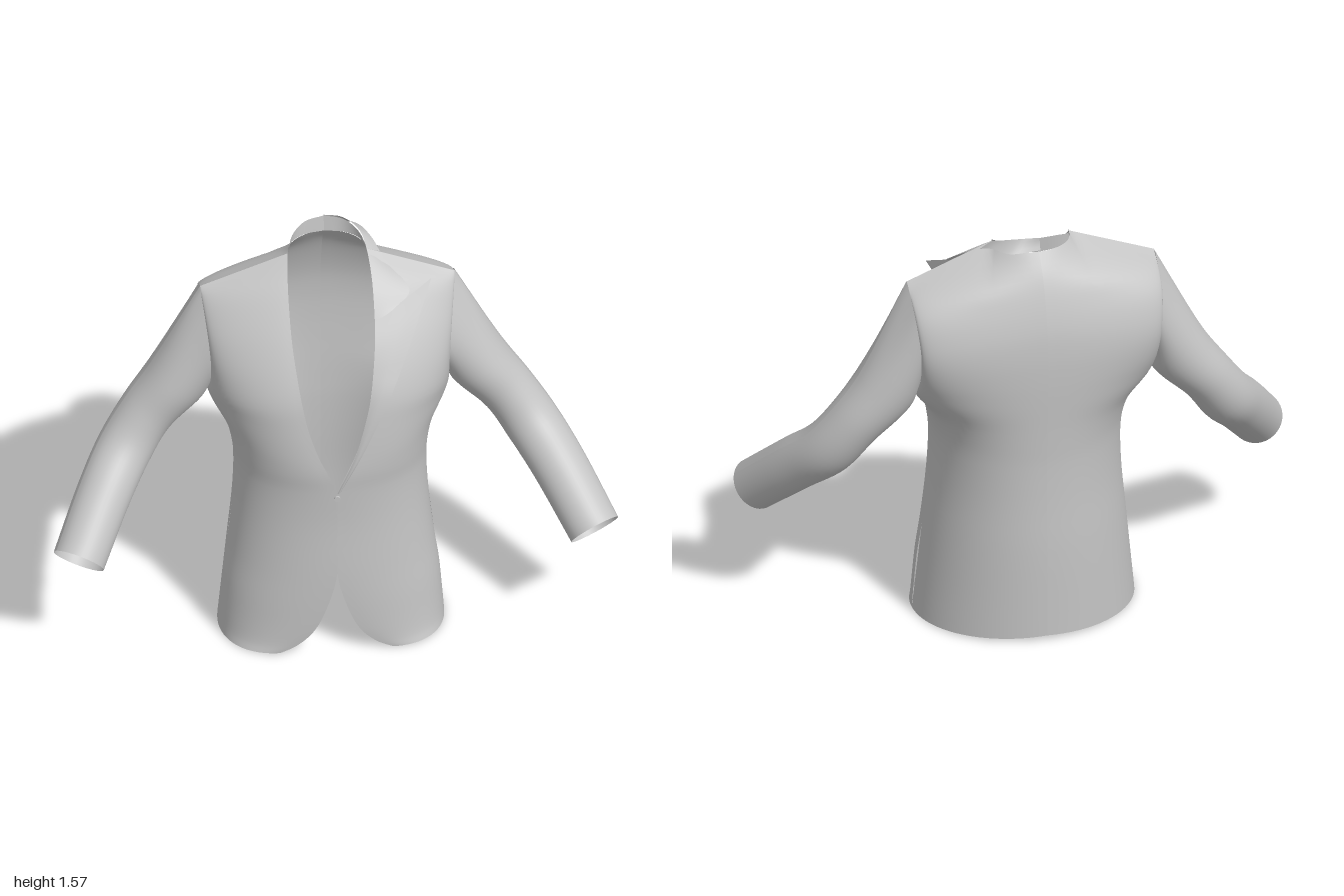
import * as THREE from 'three';

const V = (x, y, z) => new THREE.Vector3(x, y, z);
const COLS = 20;

// Front panel rows: front edge x, y, z, then side edge x, y, z, then fullness
const FRONT = [
  [.20, .002, .255, .400, .002, .04, .60],
  [.14, .035, .260, .398, .035, .04, .60],
  [.08, .10, .267, .393, .10, .04, .60],
  [.03, .22, .273, .383, .22, .035, .60],
  [0, .35, .274, .365, .35, .03, .60],
  [0, .55, .268, .345, .55, .02, .60],
  [0, .70, .272, .340, .70, .01, .60],
  [.03, .78, .274, .348, .78, 0, .60],
  [.065, .86, .268, .370, .86, -.03, .60],
  [.10, .97, .255, .426, .95, -.09, .56],
  [.12, 1.07, .238, .422, 1.02, 0, .53],
  [.135, 1.17, .20, .422, 1.11, .035, .48],
  [.147, 1.28, .14, .428, 1.20, .025, .43],
  [.15, 1.38, .065, .438, 1.29, -.015, .40],
  [.148, 1.45, 0, .447, 1.36, -.055, .37],
  [.14, 1.51, -.075, .450, 1.39, -.075, .33],
];
// Back panel rows: centre y, z, then side edge x, y, z, then fullness
const BACK = [
  [.02, -.31, .400, .002, .04, .54],
  [.35, -.312, .365, .35, .03, .55],
  [.55, -.306, .345, .55, .02, .56],
  [.70, -.305, .340, .70, .01, .58],
  [.78, -.308, .348, .78, 0, .59],
  [.86, -.312, .370, .86, -.03, .60],
  [.96, -.318, .426, .95, -.09, .60],
  [1.05, -.322, .430, 1.03, -.18, .57],
  [1.15, -.322, .435, 1.12, -.225, .54],
  [1.25, -.312, .440, 1.20, -.23, .50],
  [1.36, -.282, .448, 1.29, -.20, .46],
  [1.44, -.247, .450, 1.35, -.14, .42],
];

// Rounded cross-section from a centre point to a side point
function section(ex, ey, ez, sx, sy, sz, k) {
  const curve = new THREE.CubicBezierCurve3(V(ex, ey, ez), V(ex + k * (sx - ex), ey, ez),
    V(sx, sy, sz + k * (ez - sz)), V(sx, sy, sz));
  return curve.getPoints(COLS).map(p => {
    p.y = THREE.MathUtils.lerp(ey, sy, (p.x - ex) / (sx - ex));
    return p;
  });
}

// Smooth surface through rows of points, each with the same count
function loft(rows, steps, side) {
  const n = rows[0].length, m = (rows.length - 1) * steps;
  const cols = rows[0].map((_, j) => new THREE.CatmullRomCurve3(rows.map(r => r[j])).getPoints(m));
  const pos = [], idx = [];
  for (let i = 0; i <= m; i++) for (let j = 0; j < n; j++) {
    const p = cols[j][i];
    pos.push(p.x * side, p.y, p.z);
    if (i < m && j < n - 1) {
      const a = i * n + j, b = a + 1, c = a + n, d = c + 1;
      if (side > 0) idx.push(a, b, c, b, d, c);
      else idx.push(a, c, b, b, c, d);
    }
  }
  const g = new THREE.BufferGeometry();
  g.setAttribute('position', new THREE.Float32BufferAttribute(pos, 3));
  g.setIndex(idx);
  g.computeVertexNormals();
  return g;
}

// Curve through listed points, sampled evenly
const path = (pts, n) => new THREE.CatmullRomCurve3(pts.map(p => V(...p))).getPoints(n);

// Strip between two edge paths, raised forward along its middle
function strip(inner, outer, n, bulge) {
  const a = path(inner, n), b = path(outer, n);
  return a.map((p, i) => [0, .25, .5, .75, 1].map(t => {
    const q = p.clone().lerp(b[i], t);
    q.z += bulge * Math.sin(t * Math.PI);
    return q;
  }));
}

// Sleeve rings: the armhole loop first, then rings square to the arm
function sleeveRows() {
  const loop = [...FRONT.slice(9).reverse().map(r => V(r[3], r[4], r[5])),
    ...BACK.slice(7).map(r => V(r[2], r[3], r[4]))];
  const N = 36;
  const rows = [new THREE.CatmullRomCurve3(loop, true).getPoints(N)];
  const arm = [[.44, 1.17, -.10], [.535, .985, -.09], [.64, .857, -.075],
    [.72, .74, -.03], [.80, .633, .075], [.912, .46, .252]].map(p => V(...p));
  const radius = [[0, 0], [.112, .122], [.098, .106], [.10, .10], [.098, .097], [.094, .093]];
  for (let i = 1; i < arm.length; i++) {
    const t = arm[Math.min(i + 1, arm.length - 1)].clone().sub(arm[i - 1]).normalize();
    const front = V(0, 0, 1).addScaledVector(t, -t.z).normalize();
    const out = front.clone().cross(t);
    const ring = [];
    for (let j = 0; j <= N; j++) {
      const a = j / N * Math.PI * 2;
      ring.push(arm[i].clone().addScaledVector(out, Math.cos(a) * radius[i][0])
        .addScaledVector(front, Math.sin(a) * radius[i][1]));
    }
    rows.push(ring);
  }
  return rows;
}

export function createModel() {
  const group = new THREE.Group();
  const cloth = new THREE.MeshStandardMaterial({ color: 0xc4c4c4, side: THREE.DoubleSide });
  cloth.name = 'grey cloth';
  const add = (name, geometry) => {
    const mesh = new THREE.Mesh(geometry, cloth);
    mesh.name = name;
    group.add(mesh);
    return mesh;
  };

  const front = FRONT.map(r => section(...r));
  const back = BACK.map(r => section(0, ...r).reverse());
  // Back top edge: in along the shoulder, then round the neck
  const top = [];
  for (let j = COLS; j >= 0; j--) {
    const u = j / COLS, a = u / .35 * Math.PI / 2;
    if (u < .35) top.push(V(.14 * Math.sin(a), 1.51, -.075 - .12 * Math.cos(a)));
    else top.push(V(.14, 1.51, -.075).lerp(V(.45, 1.39, -.075), (u - .35) / .65));
  }
  back.push(top);

  const sleeve = sleeveRows();
  // Standing band inside the back of the neck
  const band = strip([[.14, 1.51, -.075], [.12, 1.51, -.14], [.07, 1.51, -.18], [0, 1.51, -.195]],
    [[.14, 1.512, -.07], [.118, 1.538, -.14], [.07, 1.562, -.185], [0, 1.57, -.203]], 12, 0);

  for (const [side, label] of [[1, 'left'], [-1, 'right']]) {
    add(label + 'FrontPanel', loft(front, 4, side));
    add(label + 'BackPanel', loft(back, 4, side));
    add(label + 'Sleeve', loft(sleeve, 6, side));
    add(label + 'NeckBand', loft(band, 1, side));
  }

  // Peaked lapel on the left front
  add('lapel', loft(strip(
    [[0, .70, .273], [.065, .86, .271], [.12, 1.07, .241], [.135, 1.17, .204], [.147, 1.25, .164], [.15, 1.33, .112]],
    [[.012, .71, .275], [.088, .86, .274], [.185, 1.07, .243], [.24, 1.18, .185], [.29, 1.28, .115], [.36, 1.42, 0]],
    24, .005), 1, 1));

  // Collar fold on the left half of the neck
  add('collar', loft(strip(
    [[.15, 1.33, .114], [.15, 1.42, .04], [.142, 1.495, -.055], [.12, 1.543, -.14], [.065, 1.568, -.19], [0, 1.572, -.205]],
    [[.215, 1.355, .088], [.28, 1.395, .03], [.205, 1.465, -.05], [.16, 1.515, -.14], [.11, 1.525, -.212], [0, 1.527, -.216]],
    30, .003), 1, 1));

  // Front button
  const button = add('button', new THREE.CylinderGeometry(.011, .011, .008, 20));
  button.rotation.x = Math.PI / 2;
  button.position.set(0, .68, .275);

  return group;
}
